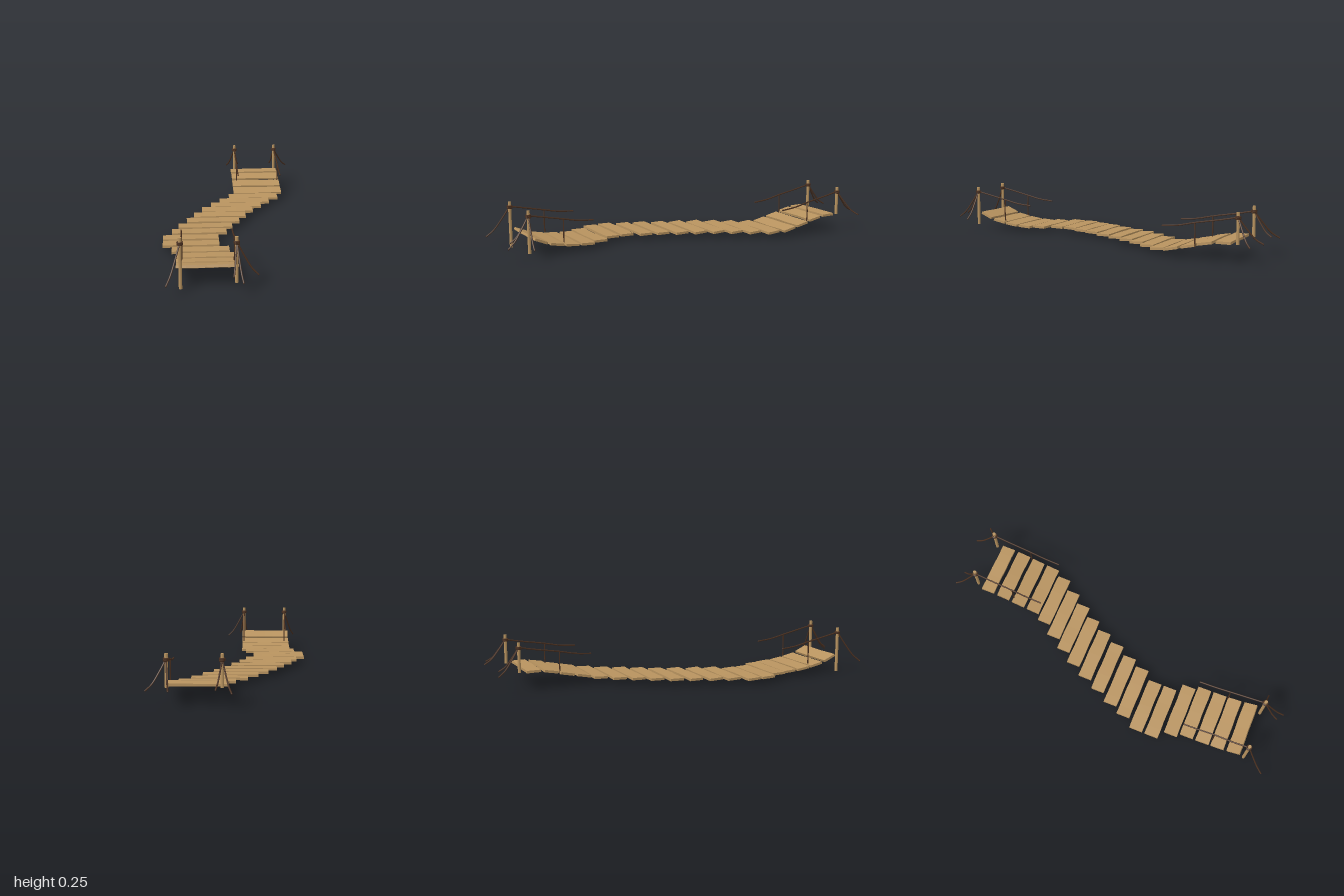
import * as THREE from 'three';

const wood = new THREE.MeshStandardMaterial({ color: 0xb8935f });
const rope = new THREE.MeshStandardMaterial({ color: 0x4a3020 });

// Planks from back to front: centre x, y, z and pitch
const PLANKS = [
  [0.167, 0.096, -0.805, 0.0], [0.167, 0.086, -0.71, 0.18], [0.167, 0.064, -0.62, 0.2], [0.167, 0.045, -0.53, 0.2],
  [0.135, 0.034, -0.445, 0.06], [0.075, 0.033, -0.36, 0.03], [0.02, 0.033, -0.275, 0.03], [-0.035, 0.033, -0.19, 0.03],
  [-0.083, 0.033, -0.1, 0.03], [-0.125, 0.033, -0.005, 0], [-0.17, 0.033, 0.09, -0.03], [-0.205, 0.033, 0.18, -0.03],
  [-0.252, 0.033, 0.275, -0.03], [-0.252, 0.033, 0.365, -0.03], [-0.205, 0.033, 0.46, -0.03],
  [-0.183, 0.034, 0.545, -0.06], [-0.183, 0.041, 0.635, -0.13], [-0.183, 0.054, 0.72, -0.2], [-0.183, 0.083, 0.81, -0.4],
];

// Posts: x, z, foot height, guy rope ends
const POSTS = [
  { x: -0.308, z: 0.872, foot: 0, guys: [[-0.373, 0.06, 0.985]] },
  { x: -0.048, z: 0.872, foot: 0.025, guys: [[0.052, 0.067, 0.885], [-0.024, 0.07, 0.993], [-0.066, 0.09, 0.965]] },
  { x: 0.047, z: -0.875, foot: 0.092, guys: [[0.002, 0.09, -0.995], [0.075, 0.102, -0.975]] },
  { x: 0.302, z: -0.875, foot: 0.092, guys: [[0.39, 0.095, -0.962], [0.286, 0.1, -0.997]] },
];

function addMesh(group, name, geometry, material) {
  const mesh = new THREE.Mesh(geometry, material);
  mesh.name = name;
  group.add(mesh);
  return mesh;
}

// Rope along a smooth curve, closed by a ball at each end
function addRope(group, name, points, radius = 0.004) {
  const pts = points.map((p) => new THREE.Vector3(...p));
  const curve = new THREE.CatmullRomCurve3(pts);
  addMesh(group, name, new THREE.TubeGeometry(curve, 14, radius, 7), rope);
  for (const p of [pts[0], pts[pts.length - 1]]) {
    addMesh(group, name + 'End', new THREE.SphereGeometry(radius, 7, 5), rope).position.copy(p);
  }
}

// Board with slightly uneven sawn edges
function plankGeometry(i) {
  const g = new THREE.BoxGeometry(0.292, 0.013, 0.075, 6, 1, 1);
  const p = g.attributes.position;
  for (let k = 0; k < p.count; k++) {
    const x = p.getX(k);
    const z = p.getZ(k);
    p.setZ(k, z + 0.001 * Math.sin(x * 37 + i * 2.3 + Math.sign(z)));
    p.setY(k, p.getY(k) + 0.0008 * Math.sin(x * 22 + i * 1.7));
  }
  const flat = g.toNonIndexed();
  flat.computeVertexNormals();
  return flat;
}

function makePost({ x, z, foot, guys }) {
  const g = new THREE.Group();
  const s = Math.sign(z);
  const tie = 0.224;
  const post = addMesh(g, 'post', new THREE.CylinderGeometry(0.0085, 0.0085, 0.25 - foot, 10), wood);
  post.position.set(x, (0.25 + foot) / 2, z);

  // Rope wound around the post
  for (const y of [0.217, 0.222, 0.227]) {
    const ring = addMesh(g, 'ropeWrap', new THREE.TorusGeometry(0.0115, 0.004, 6, 16), rope);
    ring.position.set(x, y, z);
    ring.rotation.set(Math.PI / 2, (y - 0.222) * 12, 0);
  }

  // Handrail rope, cut short over the bridge
  const end = s > 0 ? 0.51 : 0.482;
  const mid = s > 0 ? 0.68 : 0.655;
  const midY = 0.184;
  const inX = x + (x < -0.2 ? 0.006 : 0);
  addRope(g, 'handRope', [[x, tie, z], [x, 0.207, s * 0.79], [inX, midY, s * mid],
    [inX, 0.166, s * (mid + end) / 2], [inX, 0.158, s * end]]);

  // Hanger from handrail down to the planks
  addRope(g, 'hangerRope', [[inX, midY, s * mid], [inX + 0.002, 0.12, s * (mid + 0.002)],
    [inX, 0.062, s * mid]], 0.0035);

  // Sagging guy ropes
  for (const e of guys) {
    const at = (t, drop) => [x + (e[0] - x) * t, tie + (e[1] - tie) * t - drop, z + (e[2] - z) * t];
    addRope(g, 'guyRope', [at(0, 0), at(0.35, 0.012), at(0.7, 0.016), e]);
  }
  return g;
}

export function createModel() {
  const model = new THREE.Group();
  model.name = 'ropeBridge';

  const deck = new THREE.Group();
  deck.name = 'deck';
  PLANKS.forEach(([x, y, z, pitch], i) => {
    const plank = addMesh(deck, 'plank', plankGeometry(i), wood);
    plank.position.set(x, y, z);
    plank.rotation.x = pitch;
  });
  model.add(deck);

  for (const spec of POSTS) {
    const post = makePost(spec);
    post.name = 'postAndRopes';
    model.add(post);
  }
  return model;
}
